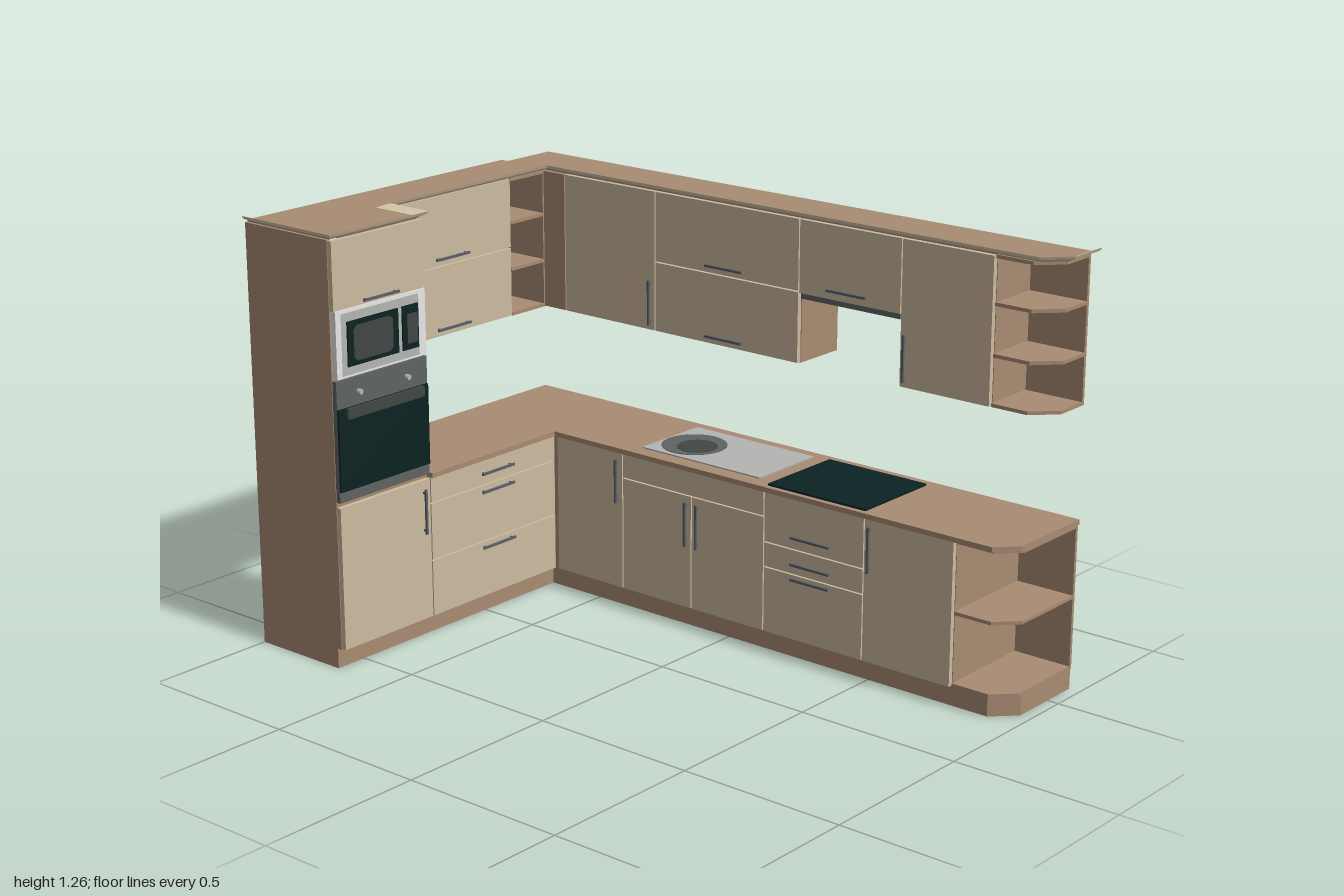
import * as THREE from 'three';

const mat = (name, color, side = THREE.FrontSide) => {
  const m = new THREE.MeshStandardMaterial({ color, side });
  m.name = name;
  return m;
};

export function createModel() {
  const wood = mat('wood', 0xa88b73);
  const cream = mat('cream', 0xcdbb9f);
  const trim = mat('creamTrim', 0xd9c8ac, THREE.DoubleSide);
  const black = mat('blackGlass', 0x0c2222);
  const grey = mat('darkGrey', 0x5f6462);
  const steel = mat('steel', 0xb4b6b2);
  const white = mat('white', 0xf4f4f4);
  const metal = mat('handleMetal', 0x596069);
  const smoke = mat('smokedGlass', 0x414746);

  const root = new THREE.Group();
  root.name = 'cornerKitchen';
  const add = (name, geo, m) => {
    const mesh = new THREE.Mesh(geo, m);
    mesh.name = name;
    root.add(mesh);
    return mesh;
  };
  const box = (name, m, x0, x1, y0, y1, z0, z1) =>
    add(name, new THREE.BoxGeometry(x1 - x0, y1 - y0, z1 - z0), m)
      .position.set((x0 + x1) / 2, (y0 + y1) / 2, (z0 + z1) / 2);
  // horizontal board cut from an x,z outline
  const board = (name, m, pts, y0, y1) => {
    const shape = new THREE.Shape(pts.map(([x, z]) => new THREE.Vector2(x, -z)));
    const g = new THREE.ExtrudeGeometry(shape, { depth: y1 - y0, bevelEnabled: false });
    add(name, g.rotateX(-Math.PI / 2).translate(0, y0, 0), m);
  };

  const BASE_Z = -0.28, BASE_X = -0.66, WALL_Z = -0.425, WALL_X = -0.825;
  const T = 0.015, G = 0.002;
  // fronts of the back run (facing +z) and of the left run (facing +x)
  const frontZ = (x0, x1, y0, y1, z) => box('cabinetFront', cream, x0 + G, x1 - G, y0 + G, y1 - G, z - T, z);
  const frontX = (z0, z1, y0, y1, x) => box('cabinetFront', cream, x - T, x, y0 + G, y1 - G, z0 + G, z1 - G);
  // bar handles with two posts
  const handleZ = (x, y, z, w, h) => {
    box('handle', metal, x - w / 2, x + w / 2, y - h / 2, y + h / 2, z + 0.007, z + 0.013);
    for (const s of [-1, 1]) {
      const px = w > h ? x + s * w * 0.42 : x, py = h > w ? y + s * h * 0.42 : y;
      box('handlePost', metal, px - 0.003, px + 0.003, py - 0.003, py + 0.003, z, z + 0.01);
    }
  };
  const handleX = (z, y, x, w, h) => {
    box('handle', metal, x + 0.007, x + 0.013, y - h / 2, y + h / 2, z - w / 2, z + w / 2);
    for (const s of [-1, 1]) {
      const pz = w > h ? z + s * w * 0.42 : z, py = h > w ? y + s * h * 0.42 : y;
      box('handlePost', metal, x, x + 0.01, py - 0.003, py + 0.003, pz - 0.003, pz + 0.003);
    }
  };
  const L = 0.135, H = 0.007;

  // base cabinets, back run
  const zb = BASE_Z - T;
  box('cornerBase', wood, -0.93, -0.39, 0.06, 0.485, -0.61, zb);
  box('drawerBase', wood, 0.14, 0.49, 0.06, 0.485, -0.61, zb);
  box('endBase', wood, 0.49, 0.788, 0.06, 0.485, -0.61, zb);
  box('sinkBaseFloor', wood, -0.39, 0.14, 0.06, 0.075, -0.61, zb);
  box('sinkBaseRail', wood, -0.39, 0.14, 0.43, 0.485, -0.61, -0.6);
  for (const x of [-0.39, 0.125]) box('sinkBaseSide', wood, x, x + T, 0.06, 0.485, -0.61, zb);
  frontZ(-0.65, -0.39, 0.06, 0.485, BASE_Z);
  frontZ(-0.39, 0.14, 0.408, 0.485, BASE_Z);
  frontZ(-0.39, -0.127, 0.06, 0.408, BASE_Z);
  frontZ(-0.127, 0.14, 0.06, 0.408, BASE_Z);
  [0.06, 0.258, 0.333, 0.485].forEach((y, i, a) => i && frontZ(0.14, 0.49, a[i - 1], y, BASE_Z));
  frontZ(0.49, 0.788, 0.06, 0.485, BASE_Z);
  for (const [x, y] of [[-0.41, 0.395], [-0.145, 0.32], [-0.103, 0.32], [0.51, 0.395]]) handleZ(x, y, BASE_Z, H, L);
  for (const y of [0.245, 0.29, 0.37]) handleZ(0.31, y, BASE_Z, L, H);

  // base cabinets, left run
  box('drawerBase', wood, -0.93, BASE_X - T, 0.06, 0.485, -0.22, 0.247);
  box('cornerFiller', wood, -0.9, BASE_X - T, 0.06, 0.485, -0.296, -0.22);
  [0.06, 0.232, 0.406, 0.485].forEach((y, i, a) => i && frontX(-0.28, 0.247, a[i - 1], y, BASE_X));
  for (const y of [0.215, 0.387, 0.443]) handleX(-0.025, y, BASE_X, L, H);

  // worktop
  board('worktop', wood, [[-1, -0.61], [0.972, -0.61], [0.972, -0.33], [0.915, -0.27],
    [-0.65, -0.27], [-0.65, 0.247], [-1, 0.247]], 0.485, 0.5);

  // plinth and legs
  box('plinth', wood, -0.7, 0.9, 0, 0.06, -0.315, -0.3);
  box('plinth', wood, -0.705, -0.69, 0, 0.06, -0.3, 0.6);
  box('plinth', wood, -1, -0.69, 0, 0.06, 0.585, 0.6);
  box('plinth', wood, 0.95, 0.965, 0, 0.06, -0.61, -0.365);
  board('plinthCorner', wood, [[0.9, -0.315], [0.9, -0.3], [0.965, -0.365], [0.95, -0.365]], 0, 0.06);
  const leg = (x, z) => add('leg', new THREE.CylinderGeometry(0.01, 0.01, 0.06, 10), black).position.set(x, 0.03, z);
  for (const x of [-0.91, -0.42, -0.36, 0.11, 0.17, 0.46, 0.52, 0.76]) for (const z of [-0.58, -0.36]) leg(x, z);
  for (const z of [-0.19, 0.22, 0.28, 0.55]) for (const x of [-0.91, -0.74]) leg(x, z);

  // open end shelves, low and high
  const shelves = (front, cut, ys) => {
    const y0 = ys[0], y1 = ys[ys.length - 1] + 0.01;
    box('endShelfBack', wood, 0.788, 0.968, y0, y1, -0.61, -0.6);
    for (const y of ys) board('endShelf', wood, [[0.788, -0.605], [0.968, -0.605], [0.968, front - cut],
      [0.968 - cut, front], [0.788, front]], y, y + 0.01);
  };
  shelves(-0.29, 0.06, [0.06, 0.27, 0.475]);
  shelves(WALL_Z - 0.008, 0.065, [0.825, 0.963, 1.105, 1.235]);

  // wall cabinets, back run
  const zw = WALL_Z - T;
  box('wallCabinet', wood, -0.975, 0.14, 0.825, 1.245, -0.61, zw);
  box('hoodCabinet', wood, 0.14, 0.49, 1.03, 1.245, -0.61, zw);
  box('wallCabinet', wood, 0.49, 0.788, 0.825, 1.245, -0.61, zw);
  box('cornerPanel', wood, -0.835, -0.742, 0.827, 1.243, zw, WALL_Z);
  frontZ(-0.74, -0.388, 0.825, 1.245, WALL_Z);
  frontZ(-0.388, 0.14, 0.825, 1.035, WALL_Z);
  frontZ(-0.388, 0.14, 1.035, 1.245, WALL_Z);
  frontZ(0.14, 0.49, 1.03, 1.245, WALL_Z);
  frontZ(0.49, 0.788, 0.825, 1.245, WALL_Z);
  box('hood', grey, 0.145, 0.485, 1.015, 1.03, -0.6, WALL_Z - 0.005);
  handleZ(-0.405, 0.91, WALL_Z, H, L);
  handleZ(0.508, 0.91, WALL_Z, H, L);
  for (const [x, y] of [[-0.125, 1.058], [-0.125, 0.848], [0.31, 1.058]]) handleZ(x, y, WALL_Z, L, H);

  // wall cabinets, left run with open corner shelves
  box('wallCabinet', wood, -1, WALL_X - T, 0.825, 1.245, -0.28, 0.247);
  frontX(-0.28, 0.247, 0.825, 1.035, WALL_X);
  frontX(-0.28, 0.247, 1.035, 1.245, WALL_X);
  for (const y of [0.848, 1.058]) handleX(-0.025, y, WALL_X, L, H);
  box('cornerShelfBack', wood, -1, -0.985, 0.825, 1.245, -0.43, -0.28);
  for (const y of [0.825, 0.963, 1.105, 1.235]) box('cornerShelf', wood, -0.99, WALL_X, y, y + 0.01, -0.43, -0.28);
  box('cornerShelfSide', wood, -0.99, WALL_X, 0.825, 1.245, -0.434, -0.42);

  // tall oven cabinet, open at the back above the lower cupboard
  const xt = BASE_X - T;
  box('tallSide', wood, -1, xt, 0.06, 1.245, 0.247, 0.26);
  box('tallSide', wood, -1, xt, 0.06, 1.245, 0.587, 0.6);
  box('tallCupboard', wood, -1, xt, 0.06, 0.5, 0.26, 0.587);
  for (const y of [0.84, 1.035]) box('tallShelf', wood, -1, xt, y, y + 0.012, 0.26, 0.587);
  frontX(0.247, 0.6, 0.06, 0.485, BASE_X);
  frontX(0.247, 0.6, 1.045, 1.245, BASE_X);
  handleX(0.275, 0.39, BASE_X, H, L);
  handleX(0.425, 1.06, BASE_X, L, H);

  // oven
  box('ovenFrame', grey, xt - 0.02, BASE_X, 0.498, 0.848, 0.249, 0.598);
  box('ovenGlass', black, BASE_X, BASE_X + 0.006, 0.53, 0.768, 0.251, 0.598);
  box('ovenHandle', smoke, BASE_X + 0.006, BASE_X + 0.016, 0.738, 0.768, 0.275, 0.57);
  for (const z of [0.515, 0.33]) {
    const knob = add('ovenKnob', new THREE.CylinderGeometry(0.008, 0.008, 0.012, 16), steel);
    knob.rotation.z = Math.PI / 2;
    knob.position.set(BASE_X + 0.006, 0.805, z);
  }

  // microwave with its white surround
  const frame = [[0.249, 0.275, 0.852, 1.045], [0.572, 0.592, 0.852, 1.045], [0.275, 0.572, 0.852, 0.858], [0.275, 0.572, 1.035, 1.045]];
  for (const [z0, z1, y0, y1] of frame) box('microwaveSurround', white, xt, BASE_X, y0, y1, z0, z1);
  box('microwaveBody', grey, -0.94, xt, 0.853, 1.033, 0.275, 0.572);
  box('microwaveFace', steel, xt, BASE_X, 0.858, 1.035, 0.275, 0.572);
  box('microwaveDoor', black, BASE_X, BASE_X + 0.004, 0.882, 1.01, 0.358, 0.552);
  const w = new THREE.Shape([[0.012, 0], [0.138, 0], [0.15, 0.012], [0.15, 0.09], [0.138, 0.102], [0.012, 0.102], [0, 0.09], [0, 0.012]]
    .map(([x, y]) => new THREE.Vector2(x, y)));
  const pane = add('microwaveWindow', new THREE.ShapeGeometry(w), smoke);
  pane.rotation.y = Math.PI / 2;
  pane.position.set(BASE_X + 0.005, 0.894, 0.53);
  box('microwaveControls', black, BASE_X, BASE_X + 0.004, 0.882, 1.01, 0.28, 0.342);
  box('microwaveDisplay', smoke, BASE_X + 0.004, BASE_X + 0.006, 0.9, 0.985, 0.285, 0.325);

  // sink and hob
  box('sinkPlate', steel, -0.345, 0.092, 0.5, 0.504, -0.57, -0.318);
  const disc = (name, m, r, x, z, y) => add(name, new THREE.CylinderGeometry(r, r, 0.002, 40), m).position.set(x, y, z);
  disc('sinkBowl', grey, 0.097, -0.24, -0.43, 0.505);
  disc('sinkBowlFloor', smoke, 0.06, -0.22, -0.42, 0.5065);
  box('hob', black, 0.147, 0.488, 0.5, 0.506, -0.575, -0.287);

  // top boards
  board('topBoard', wood, [[-0.975, -0.61], [0.97, -0.61], [0.97, -0.5], [0.915, -0.44], [-0.825, -0.44],
    [-0.825, 0.26], [-0.675, 0.26], [-0.675, 0.59], [-1, 0.59], [-1, -0.43], [-0.975, -0.43]], 1.245, 1.251);

  // flared cornice: a slanted section swept with mitred corners
  const path = [[-1, 0.61], [-0.65, 0.61], [-0.65, 0.235], [-0.8, 0.235], [-0.8, -0.415],
    [0.935, -0.415], [1, -0.485], [1, -0.61]].map(p => new THREE.Vector2(...p));
  const section = [[0.03, 1.244], [0.004, 1.256], [0, 1.264], [0.03, 1.252]];
  const normals = path.slice(1).map((p, i) => {
    const d = p.clone().sub(path[i]).normalize();
    return new THREE.Vector2(d.y, -d.x);
  });
  const rings = path.map((p, i) => {
    const a = normals[Math.max(i - 1, 0)], b = normals[Math.min(i, normals.length - 1)];
    const n = a.clone().add(b).divideScalar(1 + a.dot(b));
    return section.map(([o, y]) => [p.x + n.x * o, y, p.y + n.y * o]);
  });
  const tri = [];
  for (let i = 0; i + 1 < rings.length; i++) for (let j = 0; j < 4; j++) {
    const k = (j + 1) % 4, [a, b, c, d] = [rings[i][j], rings[i + 1][j], rings[i + 1][k], rings[i][k]];
    tri.push(...a, ...b, ...c, ...a, ...c, ...d);
  }
  const cg = new THREE.BufferGeometry();
  cg.setAttribute('position', new THREE.Float32BufferAttribute(tri, 3));
  cg.computeVertexNormals();
  add('cornice', cg, trim);

  return root;
}
